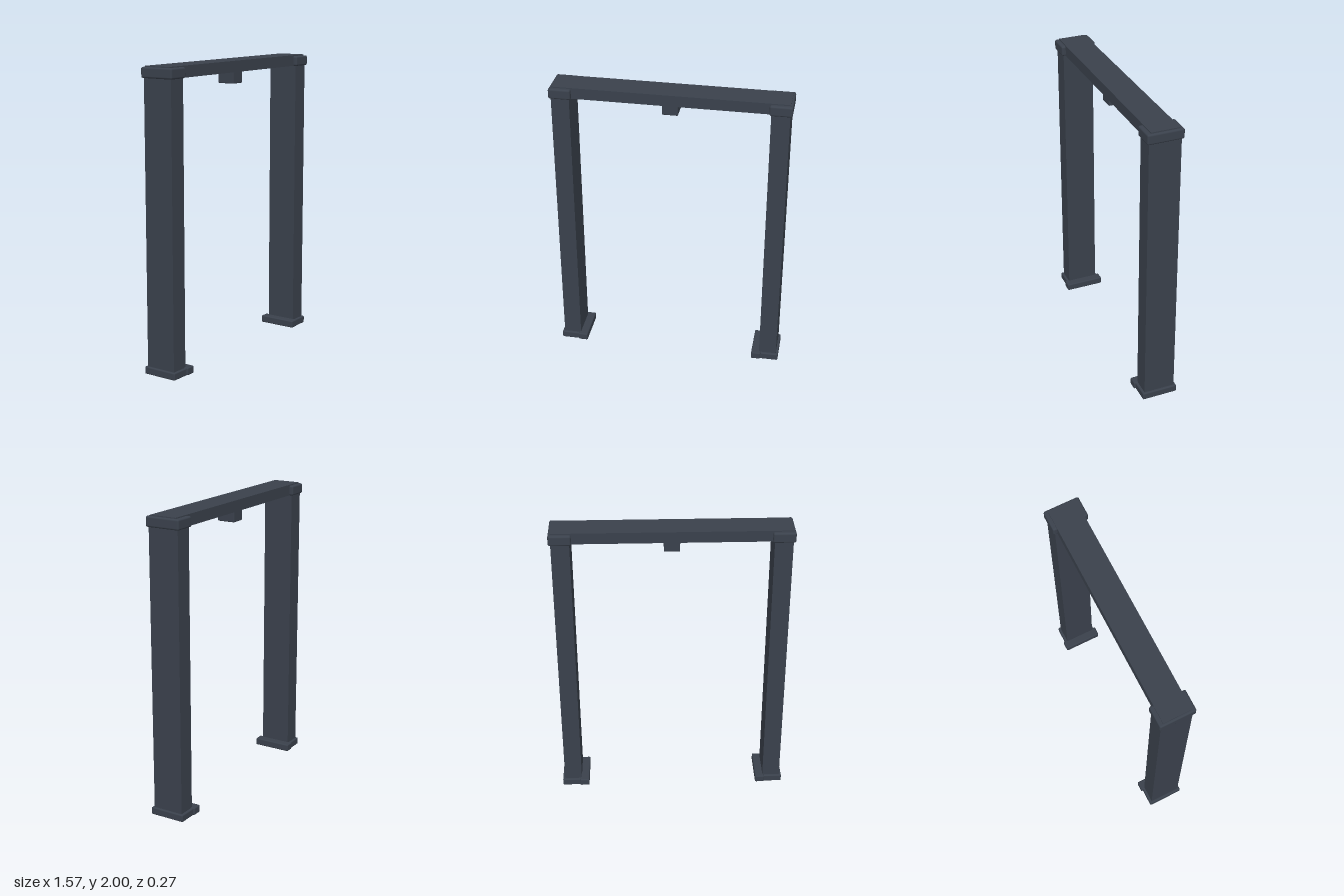
import * as THREE from 'three';
import { RoundedBoxGeometry } from 'three/addons/geometries/RoundedBoxGeometry.js';

export function createModel() {
  const model = new THREE.Group();
  model.name = 'portalFrame';
  const steel = new THREE.MeshStandardMaterial({ color: 0x3a414c });

  // Box spanning x0..x1 and y0..y1, centred on z = 0; bevel > 0 softens its edges
  function block(name, x0, x1, y0, y1, depth, bevel = 0) {
    const w = x1 - x0, h = y1 - y0;
    const geometry = bevel
      ? new RoundedBoxGeometry(w, h, depth, 2, bevel)
      : new THREE.BoxGeometry(w, h, depth);
    const mesh = new THREE.Mesh(geometry, steel);
    mesh.name = name;
    mesh.position.set((x0 + x1) / 2, (y0 + y1) / 2, 0);
    return mesh;
  }

  // Crossbeam with the small block hanging under its middle
  model.add(block('crossbeam', -0.772, 0.772, 1.925, 2, 0.19));
  model.add(block('hangingBlock', -0.052, 0.052, 1.845, 1.926, 0.126, 0.006));

  // One leg assembly per side; the parts are symmetric, so turning mirrors them
  for (const [name, turn] of [['leftLeg', 0], ['rightLeg', Math.PI]]) {
    const leg = new THREE.Group();
    leg.name = name;
    leg.add(
      block('post', 0.652, 0.772, 0.01, 1.93, 0.214),
      block('cornerCap', 0.64, 0.787, 1.924, 1.993, 0.243, 0.012),
      block('basePlate', 0.64, 0.787, 0, 0.05, 0.246, 0.008),
      block('innerFoot', 0.598, 0.664, 0.004, 0.055, 0.272, 0.008),
    );
    leg.rotation.y = turn;
    model.add(leg);
  }
  return model;
}
